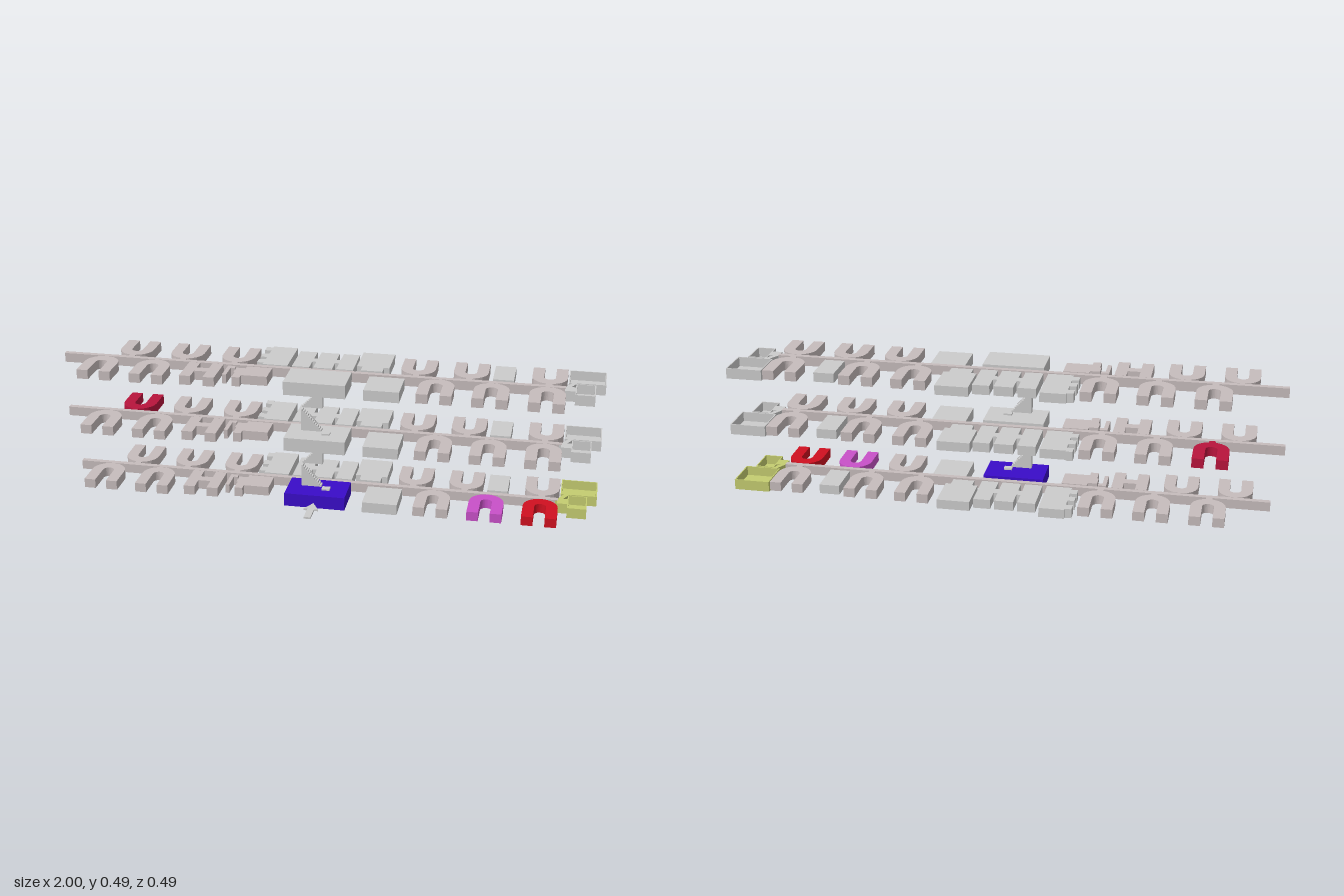
import * as THREE from 'three';

const mat = (color) => new THREE.MeshStandardMaterial({ color, flatShading: true });
const GREY = mat(0xcccccc), WARM = mat(0xc6bcbc);
const BLUE = mat(0x3a0cc8), RED = mat(0xd01020), CRIMSON = mat(0xb8143c);
const MAGENTA = mat(0xc850c8), YELLOW = mat(0xc4cc70);

function add(parent, name, geo, material) {
  const mesh = new THREE.Mesh(geo, material);
  mesh.name = name;
  parent.add(mesh);
  return mesh;
}

// Box given by its extents
function block(parent, name, [x0, x1], [y0, y1], [z0, z1], material = GREY) {
  const geo = new THREE.BoxGeometry(x1 - x0, y1 - y0, z1 - z0);
  geo.translate((x0 + x1) / 2, (y0 + y1) / 2, (z0 + z1) / 2);
  return add(parent, name, geo, material);
}

// Plan outline (x, z) raised from y0 to y1
function planGeometry(points, y0, y1) {
  const shape = new THREE.Shape(points.map(([x, z]) => new THREE.Vector2(x, z)));
  const geo = new THREE.ExtrudeGeometry(shape, { depth: y1 - y0, bevelEnabled: false });
  return geo.rotateX(Math.PI / 2).translate(0, y1, 0);
}

// U-shaped classroom block; side +1 opens to the front, -1 to the back
function uRoom(parent, name, x, side, y0, y1, material = WARM) {
  const R = 0.063, r = 0.021, L = 0.155, n = 12;
  const z0 = side > 0 ? -0.025 : -0.057;
  const pts = [];
  for (let i = 0; i <= n; i++) {
    const a = Math.PI * i / n;
    pts.push([-R * Math.cos(a), R - R * Math.sin(a)]);
  }
  pts.push([R, L], [r, L]);
  for (let i = 0; i <= n; i++) {
    const a = Math.PI * i / n;
    pts.push([r * Math.cos(a), R - r * Math.sin(a)]);
  }
  pts.push([-r, L], [-R, L]);
  add(parent, name, planGeometry(pts.map(([px, pz]) => [x + px, z0 + side * pz]), y0, y1), material);
  if (side < 0) block(parent, 'doorway', [x - 0.012, x + 0.012], [y0, y1], [-0.062, -0.044], material);
}

// Open-topped room: floor and four thin walls
function openRoom(parent, name, [x0, x1], [y0, y1], [z0, z1], material) {
  const g = new THREE.Group(), t = 0.004;
  g.name = name;
  block(g, 'roomFloor', [x0, x1], [y0, y0 + t], [z0, z1], material);
  for (const x of [x0, x1 - t]) block(g, 'sideWall', [x, x + t], [y0 + t, y1], [z0, z1], material);
  for (const z of [z0, z1 - t]) block(g, 'endWall', [x0 + t, x1 - t], [y0 + t, y1], [z, z + t], material);
  parent.add(g);
}

// Solid stepped flight; dir +1 climbs towards +x, -1 towards -x
function flight(parent, name, y0, y1, [z0, z1], dir) {
  const n = 12, w = 0.075, s = new THREE.Shape();
  const X = (u) => (dir > 0 ? -w + u * w : -u * w);
  s.moveTo(X(0), y0);
  for (let i = 0; i < n; i++) {
    const y = y0 + (y1 - y0) * (i + 1) / n;
    s.lineTo(X(i / n), y);
    s.lineTo(X((i + 1) / n), y);
  }
  s.lineTo(X(1), y0);
  const geo = new THREE.ExtrudeGeometry(s, { depth: z1 - z0, bevelEnabled: false });
  add(parent, name, geo.translate(0, 0, z0), GREY);
}

// Arrow outline in plan, tip at (0, 0), pointing to -z
function arrow(width, length) {
  const w = width / 2, h = length * 0.42;
  return [[0, 0], [w, h], [w * 0.45, h], [w * 0.45, length], [-w * 0.45, length], [-w * 0.45, h], [-w, h]];
}

function floor(level, base) {
  const g = new THREE.Group();
  g.name = ['groundFloor', 'firstFloor', 'secondFloor'][level];
  const ground = level === 0;
  const y = [base + 0.009, base + 0.044], yg = [base + 0.003, base + 0.042];

  // Corridor
  block(g, 'corridor', [ground ? -0.963 : -1, 0.86], y, [-0.046, -0.026], WARM);

  // Rows of U-shaped rooms
  for (const x of [-0.745, -0.547, -0.35, 0.325, 0.517, 0.8])
    uRoom(g, 'backRoom', x, -1, ...y, level === 1 && x === -0.745 ? CRIMSON : WARM);
  for (const x of [-0.835, -0.637, 0.41, 0.605, 0.8])
    uRoom(g, 'frontRoom', x, 1, ...y, ground && x === 0.8 ? RED : ground && x === 0.605 ? MAGENTA : WARM);

  // Front left H-shaped room
  for (const x of [-0.515, -0.427]) block(g, 'hRoomWing', [x, x + 0.042], y, [-0.025, 0.115], WARM);
  block(g, 'hRoomBridge', [-0.473, -0.427], y, [0.025, 0.06], WARM);

  // Small service rooms
  block(g, 'serviceWing', [-0.365, -0.35], y, [-0.015, 0.075], WARM);
  block(g, 'serviceLink', [-0.35, -0.335], y, [-0.015, 0.005], WARM);
  block(g, 'serviceRoom', [-0.325, -0.295], y, [0.015, 0.095], WARM);
  block(g, 'stepRoom', [-0.295, -0.2], y, [-0.02, 0.07], WARM);
  block(g, 'stepRoomSide', [-0.33, -0.295], y, [0.0, 0.045], WARM);

  // Back left hall with its side bays
  block(g, 'backHall', [-0.245, -0.152], y, [ground || level === 2 ? -0.245 : -0.228, -0.055]);
  for (const z of [-0.235, -0.165, -0.105]) block(g, 'hallBay', [-0.27, -0.245], y, [z, z + 0.035]);

  // Linked rooms behind the lobby
  for (const [x0, x1] of [[-0.135, -0.07], [-0.055, 0.015], [0.03, 0.092]])
    block(g, 'linkedRoom', [x0, x1], y, [-0.215, -0.055]);
  for (const x of [-0.07, 0.015]) block(g, 'roomLink', [x, x + 0.015], y, [-0.15, -0.115]);

  // T-shaped hall
  block(g, 'teeHall', [0.1, 0.22], y, [ground || level === 2 ? -0.245 : -0.228, -0.1]);
  block(g, 'teeHallStem', [0.12, 0.2], y, [-0.1, -0.06]);

  // Lobby, side hall and plain back room
  block(g, 'lobby', [-0.13, 0.095], [base, base + 0.05], [-0.018, 0.12], ground ? BLUE : GREY);
  block(g, 'sideHall', [0.16, 0.288], [base, base + 0.04], [-0.018, 0.12]);
  block(g, 'plainRoom', [0.6, 0.675], y, [-0.2, -0.062]);

  // End rooms and the slanted passage that reaches them
  const m = ground ? YELLOW : GREY;
  openRoom(g, 'endHall', [0.868, 1], yg, [-0.212, -0.085], m);
  openRoom(g, 'endRoom', [0.895, 0.965], yg, [-0.078, 0.028], m);
  block(g, 'endRoomLink', [0.858, 0.895], yg, [-0.046, -0.005], m);
  const passage = planGeometry([[0.85, -0.026], [0.868, -0.026], [0.9, -0.085], [0.88, -0.085]], ...yg);
  add(g, 'slantedPassage', passage, m);
  return g;
}

export function createModel() {
  const model = new THREE.Group();
  model.name = 'schoolBuilding';
  const bases = [0, 0.222, 0.44];
  bases.forEach((b, i) => model.add(floor(i, b)));

  // Stairs between floors, with a direction arrow lying on each lower flight
  for (const b of [0, 0.222]) {
    const stairs = new THREE.Group();
    stairs.name = 'stairs';
    flight(stairs, 'lowerFlight', b + 0.064, b + 0.146, [0.046, 0.07], -1);
    flight(stairs, 'upperFlight', b + 0.146, b + 0.222, [0.027, 0.049], 1);
    const a = add(stairs, 'stairArrow', planGeometry(arrow(0.014, 0.045), 0, 0.002), GREY);
    a.geometry.rotateY(Math.PI / 2).rotateZ(-Math.atan2(0.082, 0.075));
    a.position.set(-0.05, b + 0.126, 0.058);
    block(stairs, 'landing', [0, 0.03], [b + 0.05, b + 0.056], [0.046, 0.07]);
    model.add(stairs);
  }

  // Arrow on the approach to the entrance
  const approach = add(model, 'entranceArrow', planGeometry(arrow(0.055, 0.115), 0.018, 0.025), GREY);
  approach.position.set(-0.018, 0, 0.131);
  return model;
}
